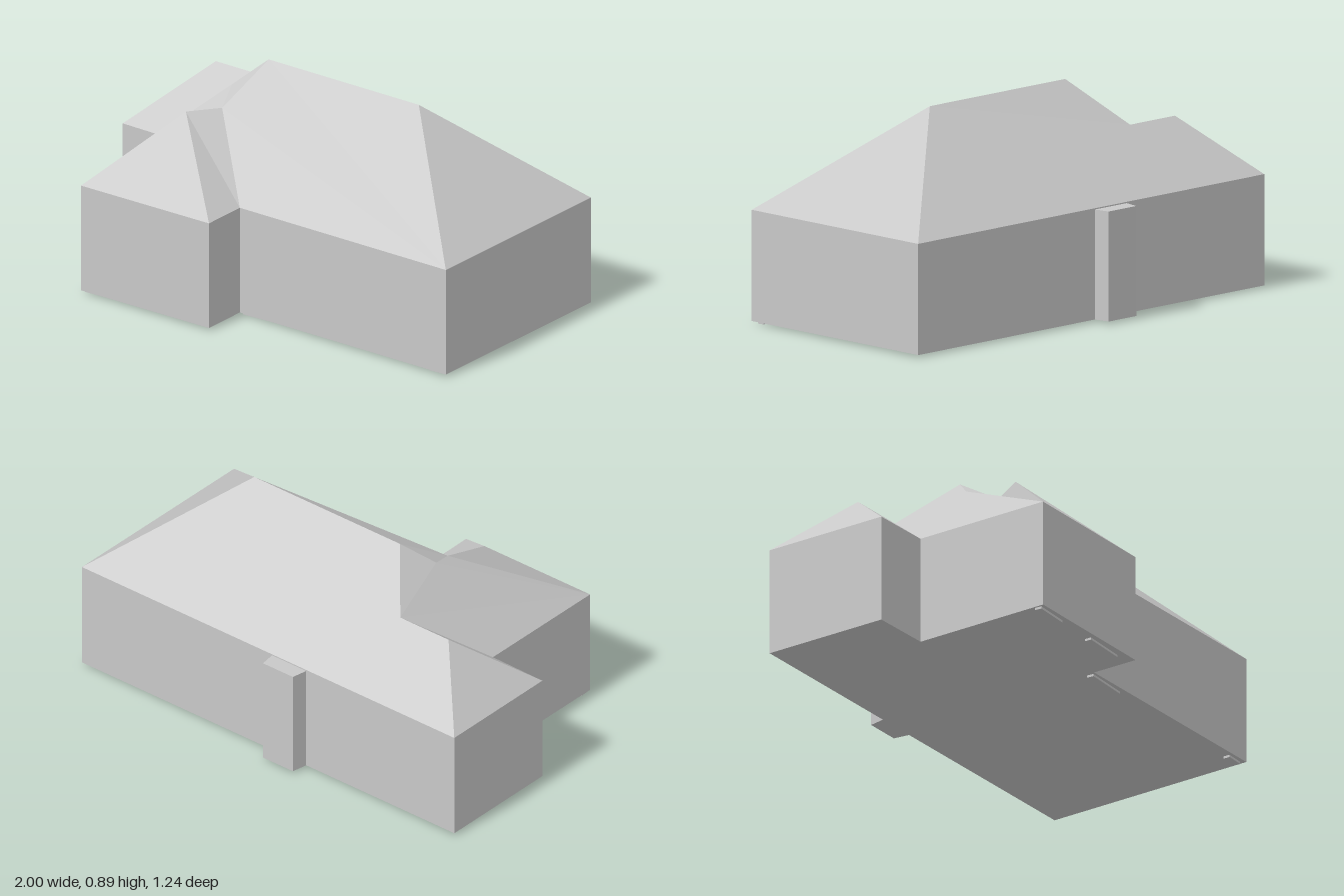
import * as THREE from 'three';

const EAVE = 0.47, BASE = 0.01;

// Vertical prism from a plan outline given as [x, z]
function prism(outline, y0, y1) {
  const shape = new THREE.Shape(outline.map(([x, z]) => new THREE.Vector2(x, -z)));
  const g = new THREE.ExtrudeGeometry(shape, { depth: y1 - y0, bevelEnabled: false });
  return g.rotateX(-Math.PI / 2).translate(0, y0, 0);
}

// Sloping roof plane from corners [x, y, z], always facing upward
function slope(points) {
  const plan = points.map(([x, , z]) => new THREE.Vector2(x, z));
  const pos = [];
  for (const [i, j, k] of THREE.ShapeUtils.triangulateShape(plan, [])) {
    const [a, b, c] = [plan[i], plan[j], plan[k]];
    const area = (b.x - a.x) * (c.y - a.y) - (b.y - a.y) * (c.x - a.x);
    for (const n of area < 0 ? [i, j, k] : [i, k, j]) pos.push(...points[n]);
  }
  const g = new THREE.BufferGeometry();
  g.setAttribute('position', new THREE.Float32BufferAttribute(pos, 3));
  g.computeVertexNormals();
  return g;
}

export function createModel() {
  const group = new THREE.Group();
  const grey = new THREE.MeshStandardMaterial({ color: 0xc8c8c8, flatShading: true });
  grey.name = 'plain grey';
  const add = (name, geometry) => {
    const mesh = new THREE.Mesh(geometry, grey);
    mesh.name = name;
    group.add(mesh);
  };

  // Plan corners
  const plan = {
    A: [-0.97, -0.6], B: [1, -0.485], C: [0.945, 0.47], D: [-0.11, 0.41],
    E: [-0.12, 0.615], F: [-0.77, 0.585], G: [-0.735, -0.025], H: [-1, -0.045],
  };
  add('walls', prism(Object.values(plan), BASE, EAVE));

  // Roof corners: eaves, main ridge P-Q, side ridge R-S, front ridge T-V, broken edge K
  const r = { P: [-0.32, 0.895, -0.1], Q: [0.45, 0.895, -0.055],
    R: [-0.735, 0.71, -0.325], S: [-0.48, 0.71, -0.31],
    T: [-0.475, 0.755, 0.265], V: [-0.39, 0.745, 0.13], K: [-0.43, 0.795, 0] };
  for (const [key, [x, z]] of Object.entries(plan)) r[key] = [x, EAVE, z];
  const slopes = {
    roofBack: 'ABQPSR', roofRightHip: 'BCQ', roofFront: 'CDVKPQ',
    frontWingRightSlope: 'DETV', frontWingHip: 'EFT', roofLeftSlope: 'FGSPKVT',
    sideWingFrontSlope: 'GHRS', sideWingHip: 'HAR',
  };
  for (const [name, keys] of Object.entries(slopes)) {
    add(name, slope([...keys].map((k) => r[k])));
  }

  // Projecting stack on the back wall
  add('backStack', prism([[-0.17, -0.622], [-0.012, -0.613], [-0.005, -0.53], [-0.19, -0.54]], BASE, 0.465));

  // Thin footings under the wall edges
  const footings = [[-0.1, 0.1, 0.39], [0.85, 0.93, 0.44], [-0.76, -0.6, 0.56], [-0.4, -0.2, 0.57]];
  for (const [x0, x1, z] of footings) {
    add('footing', prism([[x0, z - 0.02], [x1, z - 0.02], [x1, z + 0.01], [x0, z + 0.01]], 0, BASE));
  }
  return group;
}
